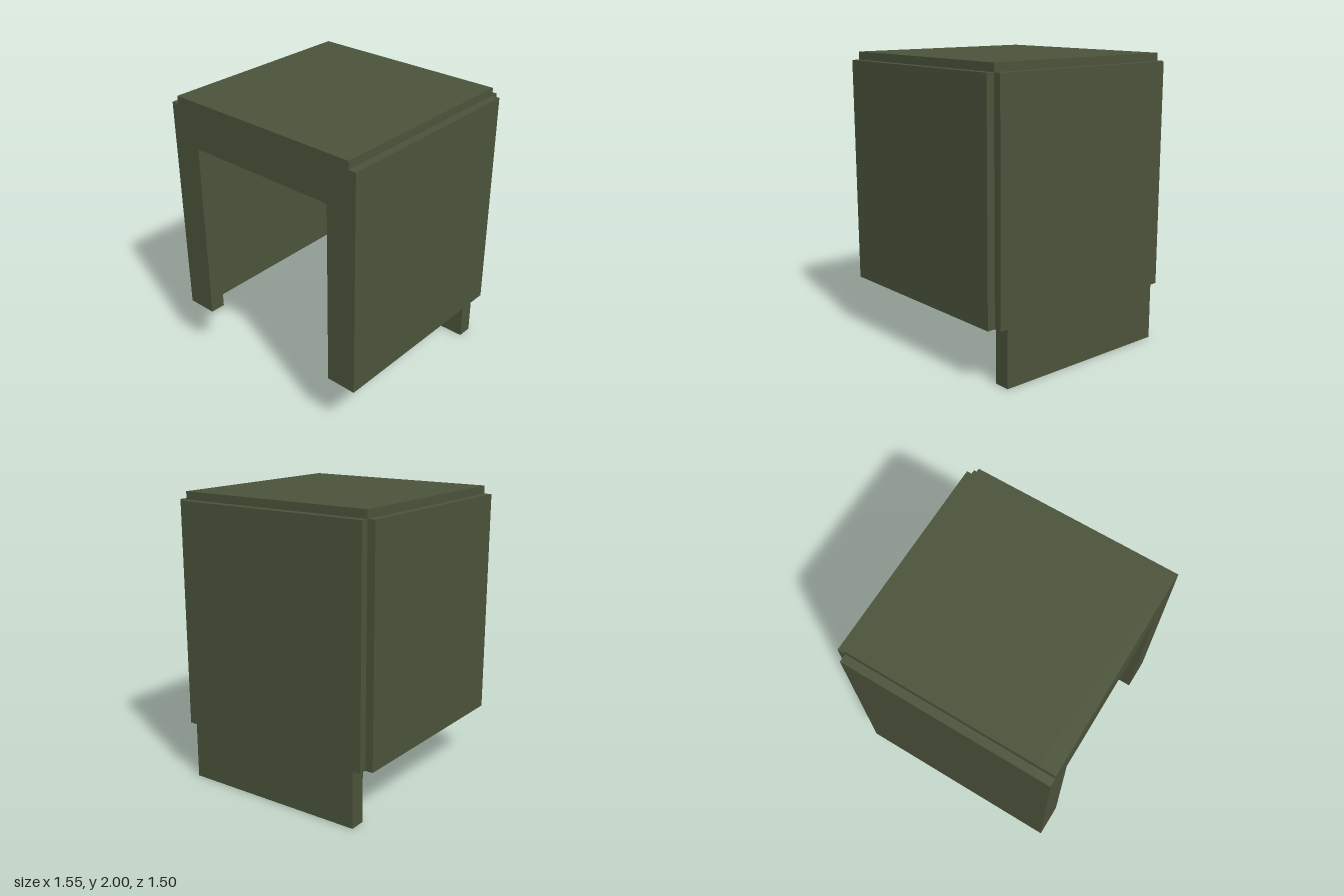
import * as THREE from 'three';

const T = 0.11;                          // wall thickness
const OUT = 0.775, MID = 0.72, IN = 0.665; // half widths: outer, notched, inner
const LOW = 0.39, STEP = 1.945, TOP = 2;   // heights
const FRONT = 0.75, BACK = -0.75, NOTCH = -0.695;

export function createModel() {
  const group = new THREE.Group();
  const olive = new THREE.MeshStandardMaterial({ color: 0x4b533a });
  olive.name = 'olive green';

  const add = (name, geometry) => {
    const mesh = new THREE.Mesh(geometry, olive);
    mesh.name = name;
    group.add(mesh);
  };
  const box = (name, x0, x1, y0, y1, z0, z1) =>
    add(name, new THREE.BoxGeometry(x1 - x0, y1 - y0, z1 - z0)
      .translate((x0 + x1) / 2, (y0 + y1) / 2, (z0 + z1) / 2));
  // Symmetric panel: the right half outline is mirrored across x = 0
  const panel = (name, half, z) => {
    const left = half.map(([x, y]) => [-x, y]).reverse();
    const shape = new THREE.Shape([...half, ...left].map(([x, y]) => new THREE.Vector2(x, y)));
    add(name, new THREE.ExtrudeGeometry(shape, { depth: T, bevelEnabled: false }).translate(0, 0, z));
  };

  // Front frame with the large opening
  panel('frontFrame', [
    [0.558, 1.675], [0.558, LOW], [OUT, LOW], [OUT, STEP], [MID, STEP], [MID, TOP],
  ], FRONT - T);

  // Back wall with the narrower flap reaching the ground
  panel('backWall', [
    [IN, 0], [IN, LOW], [MID, LOW], [MID, STEP],
  ], BACK);

  // Roof and side walls
  box('roof', -MID, MID, TOP - T, TOP, NOTCH, FRONT - T);
  box('leftWall', IN, OUT, LOW, STEP, NOTCH, FRONT - T);
  box('rightWall', -OUT, -IN, LOW, STEP, NOTCH, FRONT - T);

  return group;
}
